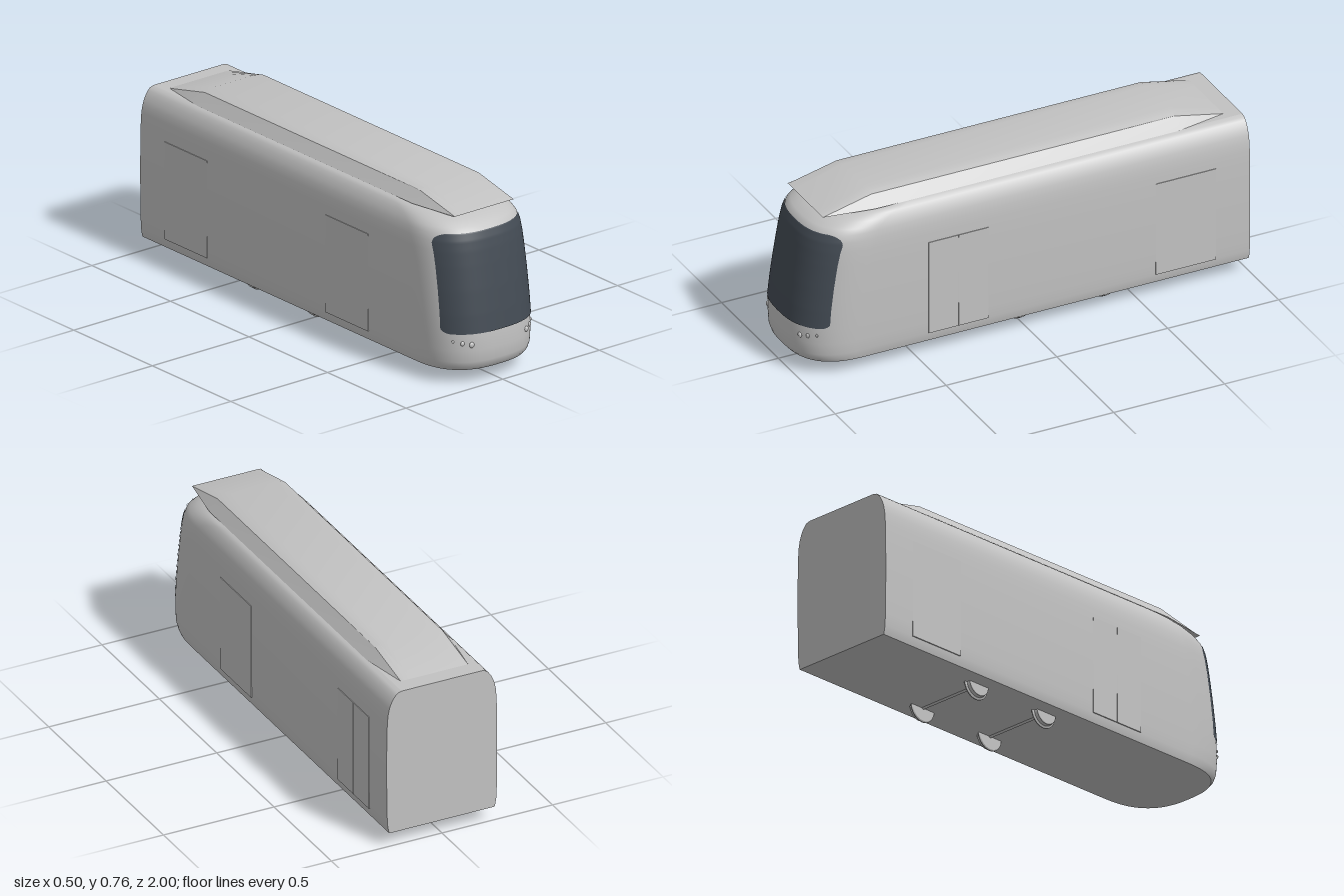
import * as THREE from 'three';
import { toCreasedNormals } from 'three/addons/utils/BufferGeometryUtils.js';

const bodyPaint = new THREE.MeshStandardMaterial({ color: 0xc2c2c2 });
bodyPaint.name = 'light grey paint';
const darkGlass = new THREE.MeshStandardMaterial({ color: 0x434b54 });
darkGlass.name = 'dark glass';

// Shell profile by height: [y, half width, nose z]
const PROFILE = [
  [0.06, 0.238, 0.975], [0.075, 0.242, 0.988], [0.1, 0.246, 0.997], [0.15, 0.248, 1],
  [0.22, 0.249, 0.997], [0.3, 0.25, 0.987], [0.4, 0.25, 0.972], [0.5, 0.249, 0.955],
  [0.56, 0.247, 0.944], [0.6, 0.244, 0.935], [0.63, 0.238, 0.924], [0.65, 0.231, 0.902],
  [0.67, 0.221, 0.863], [0.685, 0.21, 0.82], [0.695, 0.199, 0.775], [0.7, 0.182, 0.73],
];
const NOSE = 0.25, POWER = 2.6;

function profileAt(y) {
  const k = Math.max(1, PROFILE.findIndex((p) => p[0] >= y));
  const a = PROFILE[k - 1], b = PROFILE[k];
  const t = (y - a[0]) / (b[0] - a[0]);
  return [a[1] + (b[1] - a[1]) * t, a[2] + (b[2] - a[2]) * t];
}

// z of the nose surface at a given x and y
function noseZ(x, y) {
  const [w, zf] = profileAt(y);
  const u = Math.min(1, Math.abs(x) / w);
  return zf - NOSE + NOSE * Math.pow(1 - Math.pow(u, POWER), 1 / POWER);
}

// Surface through rows of points
function grid(rows) {
  const n = rows[0].length, index = [];
  for (let i = 0; i < rows.length - 1; i++) {
    for (let j = 0; j < n - 1; j++) {
      const a = i * n + j, b = a + n;
      index.push(a, b, b + 1, a, b + 1, a + 1);
    }
  }
  const g = new THREE.BufferGeometry();
  g.setAttribute('position', new THREE.Float32BufferAttribute(rows.flat(2), 3));
  g.setIndex(index);
  g.computeVertexNormals();
  return g;
}

// Right half of the plan outline, from the rear to the nose tip
function halfRing([y, w, zf]) {
  const pts = [[w, y, -1], [w, y, 0]];
  for (let k = 0; k <= 32; k++) {
    const a = (k / 32) * Math.PI / 2;
    pts.push([
      w * Math.pow(Math.max(0, Math.cos(a)), 2 / POWER), y,
      zf - NOSE + NOSE * Math.pow(Math.sin(a), 2 / POWER),
    ]);
  }
  pts[pts.length - 1][0] = 0;
  return pts;
}
const mirror = (pts) => pts.map(([x, y, z]) => [-x, y, z]);

export function createModel() {
  const model = new THREE.Group();
  const add = (geometry, material, name, parent = model) => {
    const mesh = new THREE.Mesh(geometry, material);
    mesh.name = name;
    parent.add(mesh);
    return mesh;
  };

  // Body shell with flat roof, floor and rear wall
  const halves = PROFILE.map(halfRing);
  add(grid(halves.map((h) => [...h, ...mirror(h).reverse().slice(1)])), bodyPaint, 'bodyShell');
  const top = halves[halves.length - 1], bottom = halves[0];
  add(grid([top, mirror(top)]), bodyPaint, 'roof');
  add(grid([mirror(bottom), bottom]), bodyPaint, 'floor');
  const rear = halves.map((h) => h[0]);
  add(grid([rear, mirror(rear)]), bodyPaint, 'rearWall');

  // Windshield: skin laid over the nose with rounded corners
  const y0 = 0.222, y1 = 0.632, glassRows = [];
  const inset = (d, r) => (d >= r ? 0 : r - Math.sqrt(r * r - (r - d) * (r - d)));
  for (let i = 0; i <= 60; i++) {
    const y = y0 + (y1 - y0) * (0.5 - 0.5 * Math.cos((i / 60) * Math.PI));
    const half = 0.229 - 0.004 * (y - y0) / (y1 - y0) - inset(y - y0, 0.02) - inset(y1 - y, 0.045);
    const row = [];
    for (let j = 0; j <= 48; j++) {
      const x = half * Math.sin((0.5 - j / 48) * Math.PI);
      row.push([x, y, noseZ(x, y) + 0.005]);
    }
    glassRows.push(row);
  }
  add(grid(glassRows), darkGlass, 'windshield');

  // Roof fairing, sloping down at both ends
  const full = [[0.19, 0], [0.152, 0.049], [0.13, 0.056], [0.1, 0.06]];
  const flat = [[0.155, 0], [0.15, 0.001], [0.13, 0.001], [0.1, 0.001]];
  const section = (z, half) => {
    const pts = half.map(([x, h]) => [x, 0.701 + h, z]);
    return [...pts, ...mirror(pts).reverse()];
  };
  const fairing = [section(0.88, flat), section(0.66, full), section(-0.71, full), section(-0.93, flat)];
  add(toCreasedNormals(grid(fairing), 0.35), bodyPaint, 'roofFairing');
  add(grid(fairing.map((r) => [r[r.length - 1], r[0]])), bodyPaint, 'roofFairingUnderside');

  // Double doors on both sides
  for (const side of [-1, 1]) {
    for (const z of [0.315, -0.71]) {
      for (const leaf of [-1, 1]) {
        const door = add(new THREE.BoxGeometry(0.006, 0.42, 0.134), bodyPaint, 'doorLeaf');
        door.position.set(side * 0.248, 0.31, z + leaf * 0.068);
      }
    }
    // Headlights
    for (const [x, y, r] of [[0.14, 0.175, 0.012], [0.172, 0.182, 0.01], [0.2, 0.189, 0.007]]) {
      const lamp = add(new THREE.SphereGeometry(r, 20, 12), bodyPaint, 'headlight');
      lamp.position.set(side * x, y, noseZ(x, y));
      lamp.scale.z = 0.6;
    }
  }

  // Flanged wheels and axles
  const wheelProfile = [
    [0, -0.013], [0.06, -0.013], [0.065, -0.01], [0.065, -0.006],
    [0.056, -0.002], [0.053, 0.011], [0.05, 0.013], [0, 0.013],
  ].map(([r, h]) => new THREE.Vector2(r, h));
  const wheelGeometry = toCreasedNormals(new THREE.LatheGeometry(wheelProfile, 40), 0.5);
  for (const z of [-0.008, -0.39]) {
    const wheelset = new THREE.Group();
    wheelset.name = 'wheelset';
    wheelset.position.set(0, 0.065, z);
    model.add(wheelset);
    for (const side of [-1, 1]) {
      const wheel = add(wheelGeometry, bodyPaint, 'wheel', wheelset);
      wheel.rotation.z = -side * Math.PI / 2;
      wheel.position.x = side * 0.16;
    }
    const axle = add(new THREE.CylinderGeometry(0.01, 0.01, 0.3, 16), bodyPaint, 'axle', wheelset);
    axle.rotation.z = Math.PI / 2;
  }
  return model;
}
